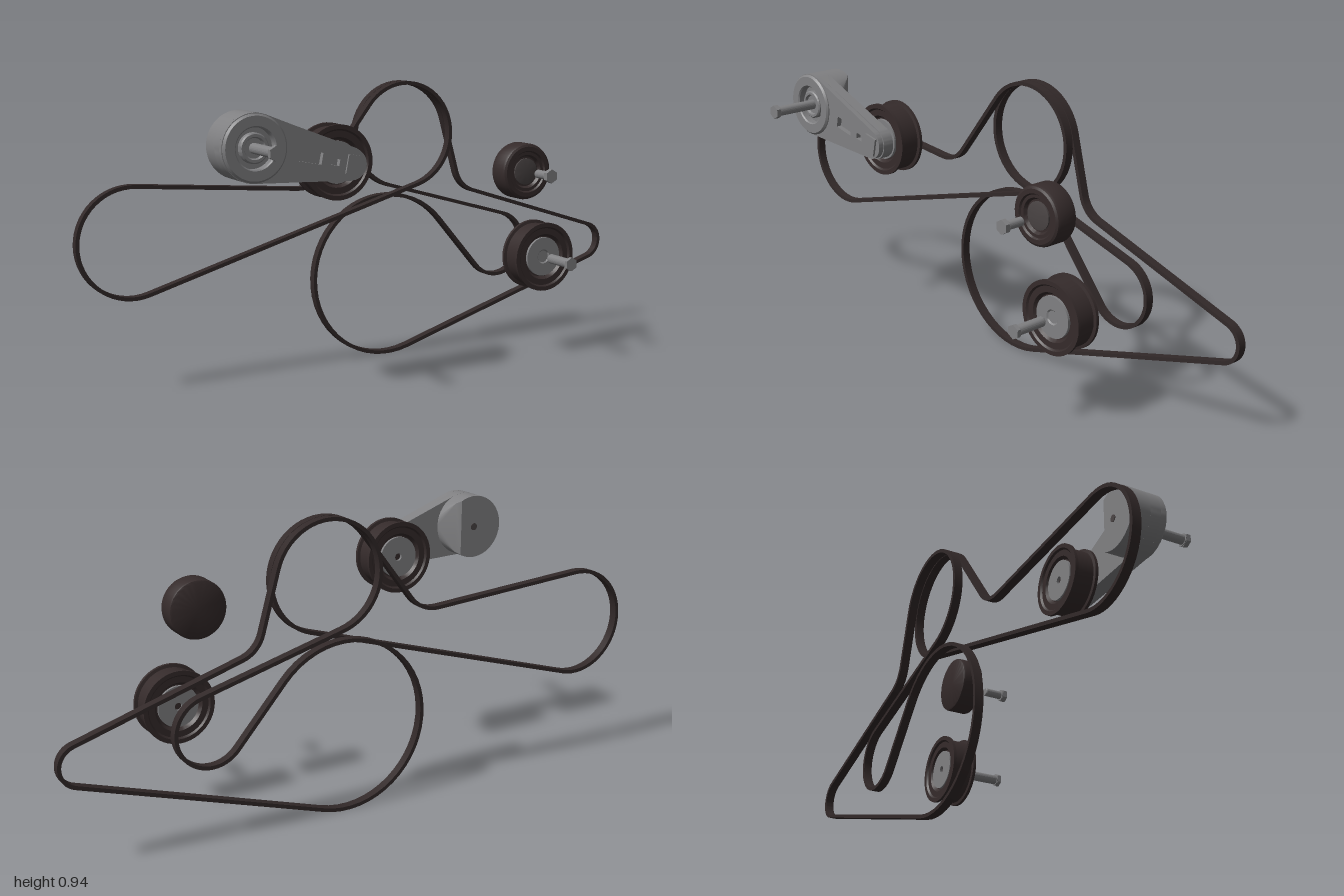
import * as THREE from 'three';
import { toCreasedNormals } from 'three/addons/utils/BufferGeometryUtils.js';
import { ConvexGeometry } from 'three/addons/geometries/ConvexGeometry.js';

const mat = (name, color) => Object.assign(new THREE.MeshStandardMaterial({ color }), { name });

// Closed path wrapped round circles [x, y, radius, turn] (turn +1 = anticlockwise, -1 = clockwise).
// Returns points with the path's left-hand normal.
function wrapPath(circles) {
  const n = circles.length;
  const dirs = circles.map(([x, y, r, s], i) => {
    const [x2, y2, r2, s2] = circles[(i + 1) % n];
    const dx = x2 - x, dy = y2 - y;
    return Math.atan2(dy, dx) - Math.asin((s2 * r2 - s * r) / Math.hypot(dx, dy));
  });
  const pts = [];
  circles.forEach(([x, y, r, s], i) => {
    const a = dirs[(i + n - 1) % n];
    const full = Math.PI * 2;
    const sweep = ((((dirs[i] - a) * s) % full) + full) % full;
    const steps = Math.max(4, Math.ceil(sweep / 0.12));
    for (let k = 0; k <= steps; k++) {
      const t = a + (s * sweep * k) / steps;
      const nx = -Math.sin(t), ny = Math.cos(t);
      pts.push({ x: x - s * r * nx, y: y - s * r * ny, nx, ny });
    }
  });
  return pts;
}

// Flat belt: a rectangular section carried along a wrapped path
function beltGeometry(circles, z0, z1, thick) {
  const h = thick / 2;
  const section = [[h, z0], [h, z1], [-h, z1], [-h, z0]];
  const path = wrapPath(circles);
  const rings = path.map(p => section.map(([o, z]) => [p.x + p.nx * o, p.y + p.ny * o, z]));
  const pos = [];
  rings.forEach((A, i) => {
    const B = rings[(i + 1) % rings.length];
    for (let k = 0; k < 4; k++) {
      const m = (k + 1) % 4;
      pos.push(...A[k], ...A[m], ...B[k], ...B[k], ...A[m], ...B[m]);
    }
  });
  const g = new THREE.BufferGeometry();
  g.setAttribute('position', new THREE.Float32BufferAttribute(pos, 3));
  return toCreasedNormals(g, 0.5);
}

// Turned part about the z axis; profile of [radius, z] from back to front
function turned(profile, segments = 48) {
  const g = new THREE.LatheGeometry(profile.map(([r, z]) => new THREE.Vector2(r, z)), segments);
  return toCreasedNormals(g.rotateX(Math.PI / 2), 0.5);
}

export function createModel() {
  const model = new THREE.Group();
  const rubber = mat('belt rubber', 0x322929);
  const dark = mat('dark pulley', 0x352b2b);
  const steel = mat('grey metal', 0x808082);
  const shade = mat('dark hub', 0x4a4444);

  const add = (parent, name, geo, material, x = 0, y = 0, z = 0) => {
    const m = new THREE.Mesh(geo, material);
    m.name = name;
    m.position.set(x, y, z);
    parent.add(m);
    return m;
  };
  const group = (name, x, y) => {
    const g = new THREE.Group();
    g.name = name;
    g.position.set(x, y, 0);
    model.add(g);
    return g;
  };

  // Belts
  add(model, 'frontBelt', beltGeometry([
    [-0.82, 0.475, 0.174, -1], [-0.254, 0.718, 0.115, 1], [0.143, 0.757, 0.176, -1],
  ], -0.239, -0.211, 0.012), rubber);
  add(model, 'rearBelt', beltGeometry([
    [0.143, 0.757, 0.176, -1], [0.46, 0.642, 0.099, 1], [0.93, 0.32, 0.064, -1],
    [0.085, 0.28, 0.274, -1], [0.535, 0.346, 0.111, 1],
  ], -0.269, -0.241, 0.012), rubber);

  // Flanged pulley with a recessed metal disc on both sides
  function flangedPulley(name, x, y, z0, z1) {
    const g = group(name, x, y);
    const f = 0.01, R = 0.117, r = 0.107;
    add(g, 'pulleyRim', turned([
      [0, z0 + 0.018], [0.07, z0 + 0.018], [0.078, z0 + 0.006], [0.098, z0 + 0.006], [0.103, z0],
      [R, z0], [R, z0 + f], [r, z0 + f + 0.002], [r, z1 - f - 0.002], [R, z1 - f], [R, z1],
      [0.103, z1], [0.098, z1 - 0.006], [0.078, z1 - 0.006], [0.07, z1 - 0.018], [0, z1 - 0.018],
    ]), dark);
    add(g, 'pulleyDisc', turned([
      [0.012, z0 + 0.02], [0.012, z0 + 0.009], [0.066, z0 + 0.009], [0.066, z1 - 0.009],
      [0.024, z1 - 0.009], [0.02, z1 - 0.013], [0, z1 - 0.013],
    ]), steel);
    return g;
  }
  flangedPulley('tensionerPulley', -0.254, 0.718, -0.02, 0.063);
  const lower = flangedPulley('lowerIdler', 0.535, 0.346, -0.032, 0.053);

  // Smooth idler: rounded cup with a closed back and stepped front
  const upper = group('upperIdler', 0.46, 0.642);
  add(upper, 'idlerRim', turned([
    [0, -0.027], [0.086, -0.027], [0.092, -0.024], [0.094, -0.018], [0.094, 0.038], [0.091, 0.046],
    [0.084, 0.05], [0.07, 0.05], [0.066, 0.044], [0.056, 0.044], [0.05, 0.034], [0, 0.034],
  ]), dark);
  add(upper, 'idlerHub', turned([
    [0.044, 0.03], [0.044, 0.039], [0.034, 0.041], [0, 0.041],
  ]), shade);

  // Hex-headed bolts pointing backwards
  function bolt(parent, z0, z1, head, r) {
    const b = new THREE.Group();
    b.name = 'bolt';
    parent.add(b);
    const tip = z1 - head;
    add(b, 'boltShank', turned([[0, z0], [r - 0.002, z0], [r, z0 + 0.003], [r, tip], [0, tip]], 24), steel);
    const hex = new THREE.CylinderGeometry(0.023, 0.023, head, 6).rotateX(Math.PI / 2);
    add(b, 'boltHead', toCreasedNormals(hex, 0.5), steel, 0, 0, z1 - head / 2);
    add(b, 'boltCollar', turned([[0, tip - 0.003], [0.02, tip - 0.003], [0.02, tip], [0, tip]], 24), steel);
  }
  bolt(upper, 0.105, 0.185, 0.016, 0.014);
  bolt(lower, 0.085, 0.203, 0.012, 0.016);

  // Tensioner: round housing cut by a slope towards the arm
  const px = -0.556, py = 0.784, R = 0.104;
  const tensioner = group('tensioner', px, py);
  const hull = [];
  for (const [z, limit] of [[0, 0.05], [0.015, 0.064], [0.066, 0.104]]) {
    const a0 = Math.acos(Math.min(1, limit / R));
    for (let i = 0; i <= 40; i++) {
      const a = a0 + ((Math.PI * 2 - 2 * a0) * i) / 40;
      hull.push(new THREE.Vector3(Math.cos(a) * R, Math.sin(a) * R, z));
    }
  }
  add(tensioner, 'housing', toCreasedNormals(new ConvexGeometry(hull), 0.5), steel);
  add(tensioner, 'housingPin', turned([[0, -0.002], [0.012, -0.002], [0.012, 0.001], [0, 0.001]], 20), shade);

  // Arm: solid back layer and a front layer with pockets
  const outline = end => new THREE.Shape(
    wrapPath([[0, 0, R, 1], [0.321, -0.067, end, 1]]).map(p => new THREE.Vector2(p.x, p.y)));
  const extrude = (shape, depth) => toCreasedNormals(
    new THREE.ExtrudeGeometry(shape, { depth, bevelEnabled: false, curveSegments: 32 }), 0.5);
  add(tensioner, 'armBack', extrude(outline(0.052), 0.037), steel, 0, 0, 0.064);

  const front = outline(0.048);
  front.holes.push(new THREE.Path().absarc(0, 0, 0.062, 0, Math.PI * 2, true));
  for (const [cx, cy, w, h] of [[0.182, -0.036, 0.075, 0.036], [0.263, -0.056, 0.028, 0.02]]) {
    const c = Math.cos(-0.2), s = Math.sin(-0.2);
    front.holes.push(new THREE.Path([[-1, -1], [-1, 1], [1, 1], [1, -1]].map(([u, v]) => {
      const a = (u * w) / 2, b = (v * h) / 2;
      return new THREE.Vector2(cx + a * c - b * s, cy + a * s + b * c);
    })));
  }
  add(tensioner, 'armFront', extrude(front, 0.017), steel, 0, 0, 0.101);

  // Raised rim, pivot boss and end block
  add(tensioner, 'housingRim', turned([
    [0.062, 0.1], [R - 0.002, 0.1], [R - 0.002, 0.121], [R - 0.008, 0.127], [0.066, 0.127], [0.062, 0.123], [0.062, 0.1],
  ]), steel);
  add(tensioner, 'pivotBoss', turned([
    [0.046, 0.1], [0.046, 0.116], [0.042, 0.12], [0.034, 0.12], [0.03, 0.112], [0, 0.112],
  ]), steel);
  const block = add(tensioner, 'armEndBlock', new THREE.BoxGeometry(0.05, 0.06, 0.045), steel, 0.325, -0.068, 0.102);
  block.rotation.z = -0.2;
  bolt(tensioner, 0.108, 0.27, 0.015, 0.016);

  return model;
}
